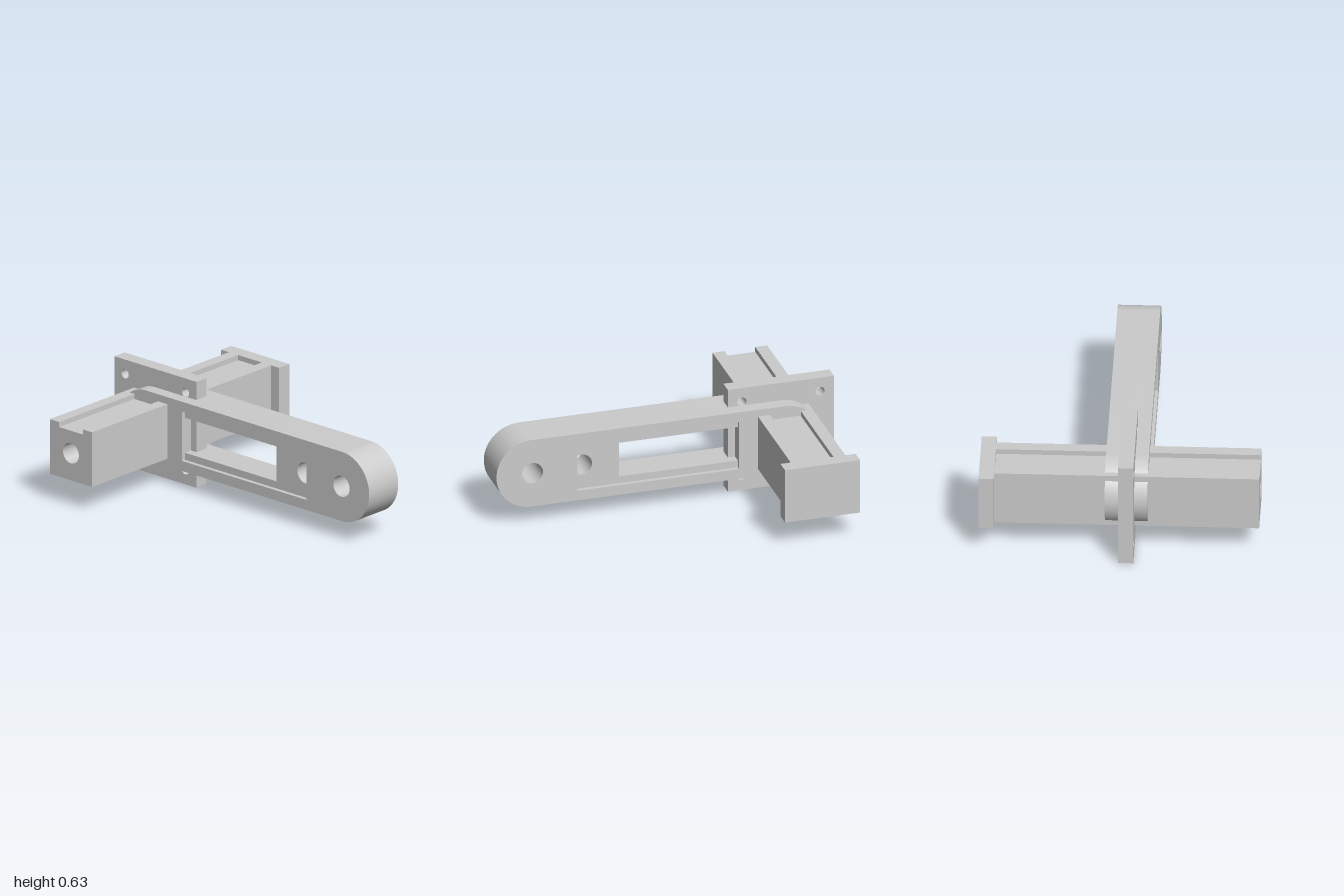
import * as THREE from 'three';
import { toCreasedNormals } from 'three/addons/utils/BufferGeometryUtils.js';

const CY = 0.316;       // height of the arm's centre line
const PIVOT_X = -0.69;  // axis of the cross bar
const BORE_R = 0.06;

const circle = (x, y, r) => new THREE.Path().absarc(x, y, r, 0, Math.PI * 2, true);

function polygon(points, Type = THREE.Shape) {
  return new Type(points.map(([x, y]) => new THREE.Vector2(x, y)));
}

const rect = (x0, x1, y0, y1, Type) =>
  polygon([[x0, y0], [x1, y0], [x1, y1], [x0, y1]], Type);

// Rounded-end outline of the arm
function stadium() {
  const r = 0.206;
  const s = new THREE.Shape();
  s.absarc(0.794, CY, r, -Math.PI / 2, Math.PI / 2, false);
  s.absarc(PIVOT_X, CY, r, Math.PI / 2, Math.PI * 1.5, false);
  s.closePath();
  return s;
}

export function createModel() {
  const group = new THREE.Group();
  const material = new THREE.MeshStandardMaterial({ color: 0xcccccc });

  function add(name, geometry, parent = group) {
    const mesh = new THREE.Mesh(geometry, material);
    mesh.name = name;
    parent.add(mesh);
    return mesh;
  }

  // Extrude a shape with holes from z0 to z1
  function slab(name, shape, holes, z0, z1, parent) {
    shape.holes.push(...holes);
    const geometry = new THREE.ExtrudeGeometry(shape, {
      depth: z1 - z0, bevelEnabled: false, curveSegments: 32,
    });
    geometry.translate(0, 0, z0);
    return add(name, toCreasedNormals(geometry, Math.PI / 6), parent);
  }

  // Arm: a web with the window, between two faces that carry the shallow recesses
  const arm = new THREE.Group();
  arm.name = 'arm';
  group.add(arm);
  const bores = () => [circle(PIVOT_X, CY, BORE_R), circle(0.79, CY, 0.062)];
  const recess = () => rect(-0.42, 0.525, 0.17, 0.463, THREE.Path);
  slab('armFrontFace', stadium(), [...bores(), recess()], 0.135, 0.16, arm);
  slab('armBackFace', stadium(), [...bores(), recess()], -0.08, -0.055, arm);
  slab('armWeb', stadium(), [
    ...bores(),
    rect(-0.42, 0.275, 0.212, 0.42, THREE.Path),
    circle(0.495, CY, 0.062),
  ], -0.055, 0.135, arm);

  // Mounting plate with four corner holes
  const plateHoles = [circle(PIVOT_X, CY, BORE_R)];
  for (const x of [-0.918, -0.46])
    for (const y of [0.086, 0.545]) plateHoles.push(circle(x, y, 0.027));
  slab('mountingPlate', rect(-1, -0.378, 0, 0.63), plateHoles, 0, 0.085);

  // Cross bar with a groove along its top and a blind bore from the front
  slab('crossBar', polygon([
    [-0.85, 0.155], [-0.53, 0.155], [-0.53, 0.48], [-0.6, 0.48],
    [-0.6, 0.45], [-0.78, 0.45], [-0.78, 0.48], [-0.85, 0.48],
  ]), [circle(PIVOT_X, CY, BORE_R)], -0.705, 0.783);

  // Wider head closing the back end of the bar
  add('barHead', new THREE.BoxGeometry(0.44, 0.325, 0.085))
    .position.set(PIVOT_X, 0.3175, -0.7425);

  return group;
}
